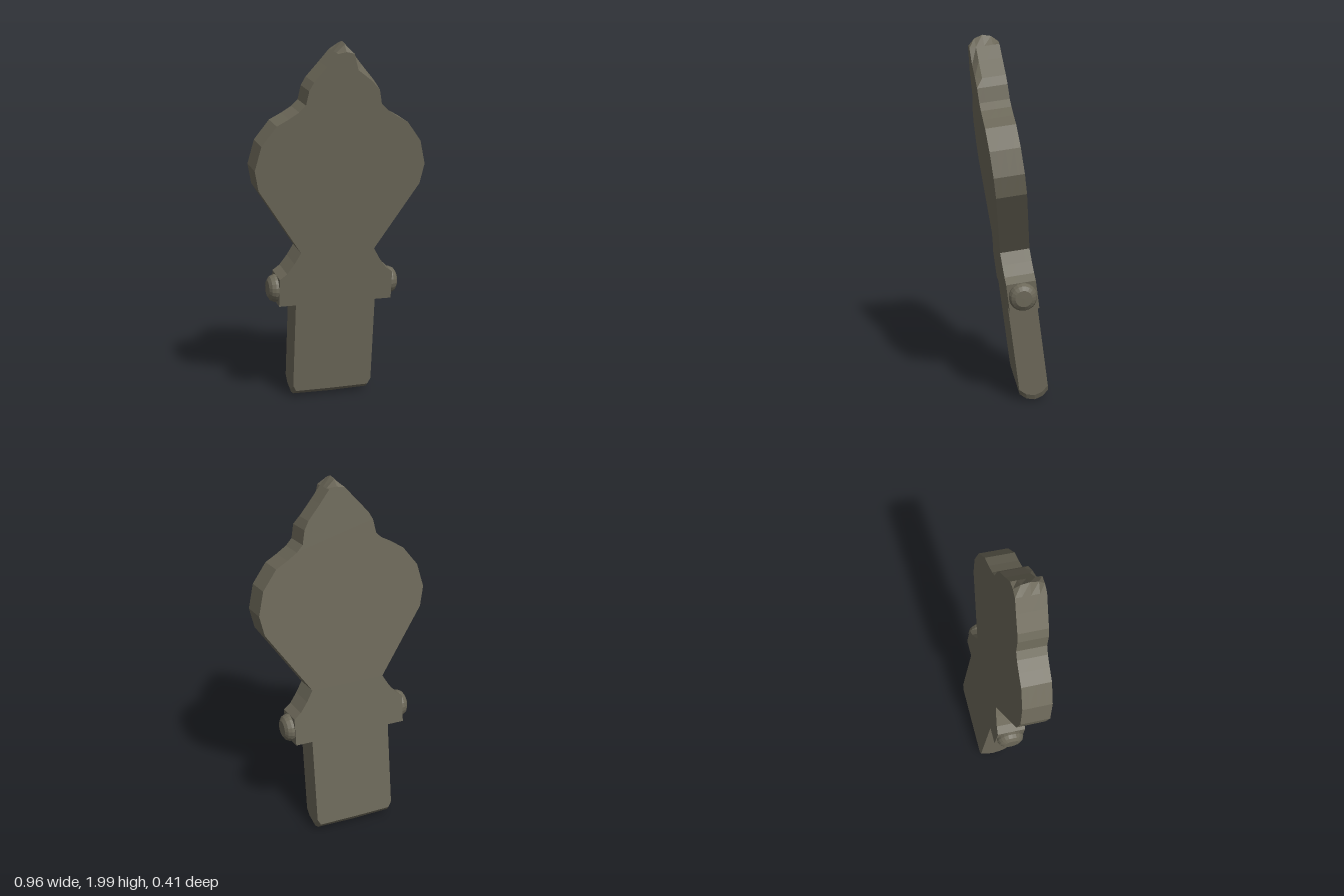
import * as THREE from 'three';

const HALF = 0.08; // half thickness of the slab

// Right half of the outline, top to bottom; t = 0 on the flat faces, 1 at mid thickness.
function halfOutline(t, chip) {
  return [
    [0, 1.955 + 0.045 * t], [0.045, 1.946],
    chip ? [0.07, 1.86] : [0.10, 1.88],
    chip ? [0.145, 1.805] : [0.17, 1.80],
    [0.195, 1.755], [0.21, 1.68], [0.245, 1.645], [0.30, 1.61], [0.365, 1.575],
    [0.445, 1.47], [0.478, 1.34], [0.455, 1.23], [0.21, 0.87], [0.245, 0.81],
    [0.285, 0.755], [0.325, 0.725], [0.325, 0.57], [0.23, 0.57],
    [0.23, 0.085 - 0.045 * t], [0.212 + 0.006 * t, 0.052 - 0.042 * t], [0, 0.05 - 0.045 * t],
  ];
}

// Closed outline, clockwise seen from the front.
function outline(t, chip) {
  const right = halfOutline(t, chip);
  const left = halfOutline(t, false).slice(1, -1).reverse().map(([x, y]) => [-x, y]);
  return [...right, ...left].map(([x, y]) => new THREE.Vector2(x, (y - 1) * 1.0086));
}

// Slab: outline layers through the thickness, walls between, flat faces at the ends.
function slabGeometry() {
  const layers = [[-HALF, 0], [-0.045, 0.72], [0, 1], [0.045, 0.72], [HALF, 0]]
    .map(([z, t], i) => ({ z, pts: outline(t, i === 4) }));
  const pos = [];
  const put = (layer, i) => pos.push(layer.pts[i].x, layer.pts[i].y, layer.z);
  const n = layers[0].pts.length;
  for (let k = 0; k < layers.length - 1; k++) {
    const a = layers[k], b = layers[k + 1];
    for (let i = 0; i < n; i++) {
      const j = (i + 1) % n;
      put(a, i); put(b, i); put(b, j);
      put(a, i); put(b, j); put(a, j);
    }
  }
  for (const [layer, front] of [[layers[0], false], [layers[4], true]]) {
    for (const tri of THREE.ShapeUtils.triangulateShape(layer.pts, [])) {
      const [a, b, c] = tri.map((i) => layer.pts[i]);
      const ccw = (b.x - a.x) * (c.y - a.y) - (b.y - a.y) * (c.x - a.x) > 0;
      (ccw === front ? tri : [...tri].reverse()).forEach((i) => put(layer, i));
    }
  }
  const geo = new THREE.BufferGeometry();
  geo.setAttribute('position', new THREE.Float32BufferAttribute(pos, 3));
  geo.computeVertexNormals();
  return geo;
}

export function createModel() {
  const stone = new THREE.MeshStandardMaterial({ color: 0x6b6758 });
  stone.name = 'olive grey stone';
  stone.flatShading = true;

  const tilted = new THREE.Group();
  tilted.name = 'tiltedBlade';

  const slab = new THREE.Mesh(slabGeometry(), stone);
  slab.name = 'bladeAndGrip';
  tilted.add(slab);

  // Rounded ends of the crossguard
  const profile = [[0, 0.22], [0.075, 0.22], [0.076, 0.34], [0.066, 0.36], [0.045, 0.373], [0, 0.374]]
    .map(([r, y]) => new THREE.Vector2(r, y));
  const endGeometry = new THREE.LatheGeometry(profile, 20);
  for (const side of [1, -1]) {
    const end = new THREE.Mesh(endGeometry, stone);
    end.name = side > 0 ? 'leftGuardEnd' : 'rightGuardEnd';
    end.rotation.z = -side * Math.PI / 2;
    end.position.y = -0.353;
    tilted.add(end);
  }

  // Lean the whole piece forward
  tilted.rotation.x = 0.131;
  tilted.position.set(0, 0.997, 0.003);

  const model = new THREE.Group();
  model.name = 'leaningSpade';
  model.add(tilted);
  return model;
}
